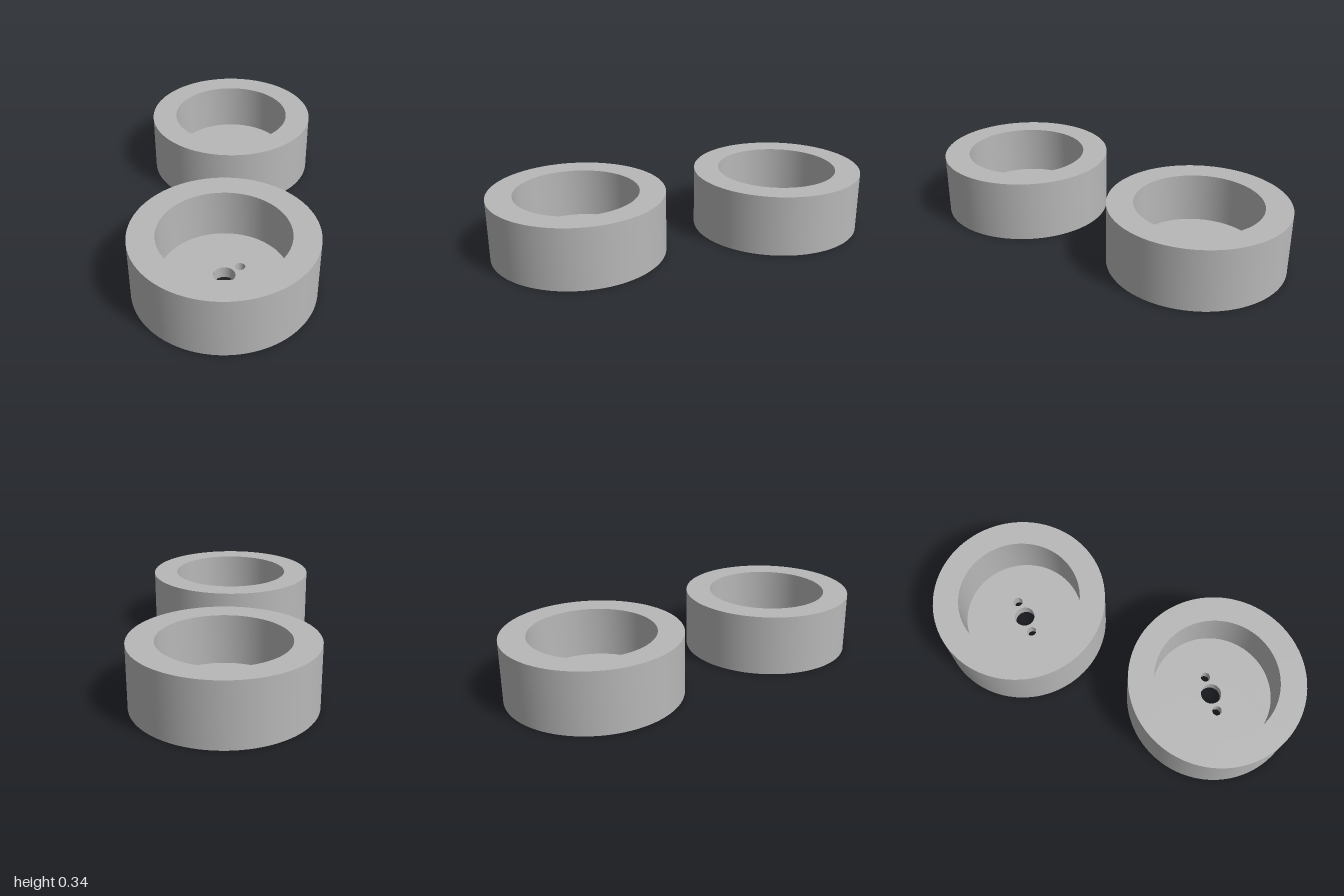
import * as THREE from 'three';
import { toCreasedNormals } from 'three/addons/utils/BufferGeometryUtils.js';

const OUTER = 0.484, INNER = 0.342, HEIGHT = 0.343, FLOOR = 0.067;
const SEGMENTS = 96;

// Holes through the floor: the central bore and two small ones beside it
const HOLES = [
  { name: 'centreBore', z: 0, r: 0.058 },
  { name: 'backPinHole', z: -0.105, r: 0.027 },
  { name: 'frontPinHole', z: 0.105, r: 0.027 },
];

// Surface of revolution with sharp profile corners
function turned(points) {
  const profile = points.map(([r, y]) => new THREE.Vector2(r, y));
  return toCreasedNormals(new THREE.LatheGeometry(profile, SEGMENTS), 0.6);
}

// Flat disc pierced by the floor holes
function piercedDisc(radius) {
  const shape = new THREE.Shape().absarc(0, 0, radius, 0, Math.PI * 2);
  for (const h of HOLES) {
    shape.holes.push(new THREE.Path().absarc(0, h.z, h.r, 0, Math.PI * 2, true));
  }
  return new THREE.ShapeGeometry(shape, SEGMENTS);
}

function createCup(name, material) {
  const cup = new THREE.Group();
  cup.name = name;
  const add = (partName, geometry) => {
    const mesh = new THREE.Mesh(geometry, material);
    mesh.name = partName;
    cup.add(mesh);
    return mesh;
  };

  // Thick wall: outside, flat rim, inside down to the floor
  add('wall', turned([[OUTER, 0], [OUTER, HEIGHT], [INNER, HEIGHT], [INNER, FLOOR]]));

  // Floor: upper face inside the wall, underside across the whole cup
  add('floorTop', piercedDisc(INNER).rotateX(-Math.PI / 2)).position.y = FLOOR;
  add('underside', piercedDisc(OUTER).rotateX(Math.PI / 2));

  // Inner walls of the holes
  for (const h of HOLES) {
    add(h.name, turned([[h.r, FLOOR], [h.r, 0]])).position.z = h.z;
  }
  return cup;
}

export function createModel() {
  const model = new THREE.Group();
  model.name = 'cupPair';
  const grey = new THREE.MeshStandardMaterial({ color: 0xb8b8b8 });
  grey.name = 'grey';

  // The two cups stand diagonally, each turned a little differently
  const backCup = createCup('backCup', grey);
  backCup.position.set(-0.301, 0, -0.516);
  backCup.rotation.y = -0.19;

  const frontCup = createCup('frontCup', grey);
  frontCup.position.set(0.301, 0, 0.516);
  frontCup.rotation.y = -0.35;

  model.add(backCup, frontCup);
  return model;
}
